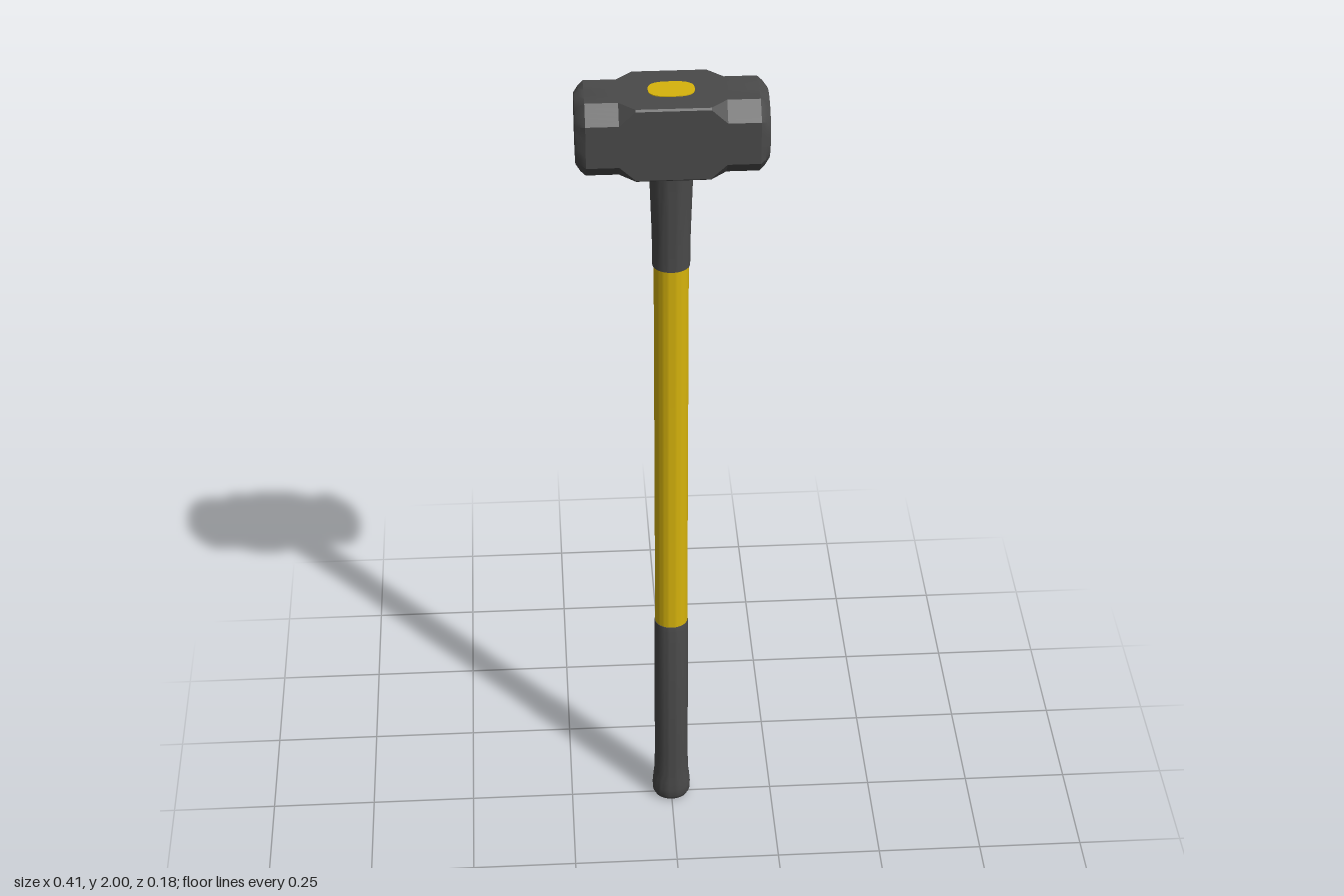
import * as THREE from 'three';
import { toCreasedNormals } from 'three/addons/utils/BufferGeometryUtils.js';

const material = (name, color) => {
  const m = new THREE.MeshStandardMaterial({ color });
  m.name = name;
  return m;
};

// Closed skin through rings of [x, y, z] points running up the y axis, capped at both ends
function loft(rings, crease = 0.6) {
  const n = rings[0].length, pos = rings.flat(2), idx = [];
  for (let i = 0; i < rings.length - 1; i++) {
    for (let j = 0; j < n; j++) {
      const a = i * n + j, b = i * n + (j + 1) % n;
      idx.push(a, a + n, b, b, a + n, b + n);
    }
  }
  const last = (rings.length - 1) * n, low = rings.length * n, high = low + 1;
  pos.push(0, rings[0][0][1], 0, 0, rings.at(-1)[0][1], 0);
  for (let j = 0; j < n; j++) {
    const k = (j + 1) % n;
    idx.push(low, j, k, high, last + k, last + j);
  }
  const g = new THREE.BufferGeometry();
  g.setAttribute('position', new THREE.Float32BufferAttribute(pos, 3));
  g.setIndex(idx);
  return toCreasedNormals(g, crease);
}

// Oval ring; a power above 2 squares it off
function oval(y, rx, rz, power = 2, n = 40) {
  const f = (v) => Math.sign(v) * Math.abs(v) ** (2 / power);
  return Array.from({ length: n }, (_, i) => {
    const t = (i / n) * Math.PI * 2;
    return [rx * f(Math.cos(t)), y, rz * f(Math.sin(t))];
  });
}

// Square ring with cut corners, each side subdivided; blends to a circle when round = 1
function octagon(y, hx, hz, cut, round = 0, radius = 0.076) {
  const c = [[hx, -hz + cut], [hx, hz - cut], [hx - cut, hz], [-hx + cut, hz],
    [-hx, hz - cut], [-hx, -hz + cut], [-hx + cut, -hz], [hx - cut, -hz]];
  const ring = [], steps = 5;
  c.forEach((p, i) => {
    const q = c[(i + 1) % 8];
    for (let k = 0; k < steps; k++) {
      const u = p[0] + (q[0] - p[0]) * k / steps, v = p[1] + (q[1] - p[1]) * k / steps;
      const s = 1 + round * (radius / Math.hypot(u, v) - 1);
      ring.push([u * s, y, v * s]);
    }
  });
  return ring;
}

export function createModel() {
  const group = new THREE.Group();
  const dark = material('dark grey', 0x4a4a4a);
  const yellow = material('yellow', 0xd6b30c);
  const pale = material('pale label', 0xb4aa80);
  const add = (name, geometry, mat) => {
    const mesh = new THREE.Mesh(geometry, mat);
    mesh.name = name;
    group.add(mesh);
    return mesh;
  };

  // Hammer head: square waist, cut corners toward rounded striking faces
  const half = [[0.08, 0.004, 0], [0.115, 0.037, 0], [0.186, 0.037, 0], [0.197, 0.037, 0.4], [0.207, 0.037, 1]];
  const section = (side) => ([x, cut, round]) => octagon(x * side, 0.0865, 0.089, cut, round);
  const head = loft([...half.map(section(-1)).reverse(), ...half.map(section(1))], 0.45);
  head.rotateZ(Math.PI / 2).translate(0, 1.9115, 0);
  add('head', head, dark);

  // Handle end showing through the eye
  add('eyePlug', loft([oval(1.994, 0.05, 0.033, 2.8), oval(2, 0.05, 0.033, 2.8)]), yellow);

  // Shaft, with a sliver visible beneath the head
  add('shaft', loft([oval(0.55, 0.039, 0.036), oval(1.58, 0.039, 0.036)]), yellow);
  add('shaftNeck', loft([oval(1.8, 0.044, 0.036), oval(1.83, 0.046, 0.037)]), yellow);

  // Flared collar below the head
  add('collar', loft([
    oval(1.565, 0.042, 0.038), oval(1.65, 0.043, 0.039),
    oval(1.77, 0.047, 0.043), oval(1.815, 0.049, 0.045),
  ]), dark);

  // Rubber grip with a swollen butt
  add('grip', loft([
    [0, 0.034, 0.03], [0.005, 0.041, 0.036], [0.015, 0.046, 0.04], [0.035, 0.047, 0.041],
    [0.06, 0.045, 0.04], [0.085, 0.042, 0.039], [0.15, 0.041, 0.04], [0.545, 0.041, 0.041], [0.56, 0.04, 0.038],
  ].map(([y, rx, rz]) => oval(y, rx, rz))), dark);

  // Thin label wrapped on the back of the shaft
  const wrap = new THREE.CylinderGeometry(1, 1, 0.085, 16, 1, true, Math.PI - 0.65, 1.3);
  wrap.scale(0.0402, 1, 0.0372).translate(0, 1.09, 0);
  pale.side = THREE.DoubleSide;
  add('label', wrap, pale);

  return group;
}
